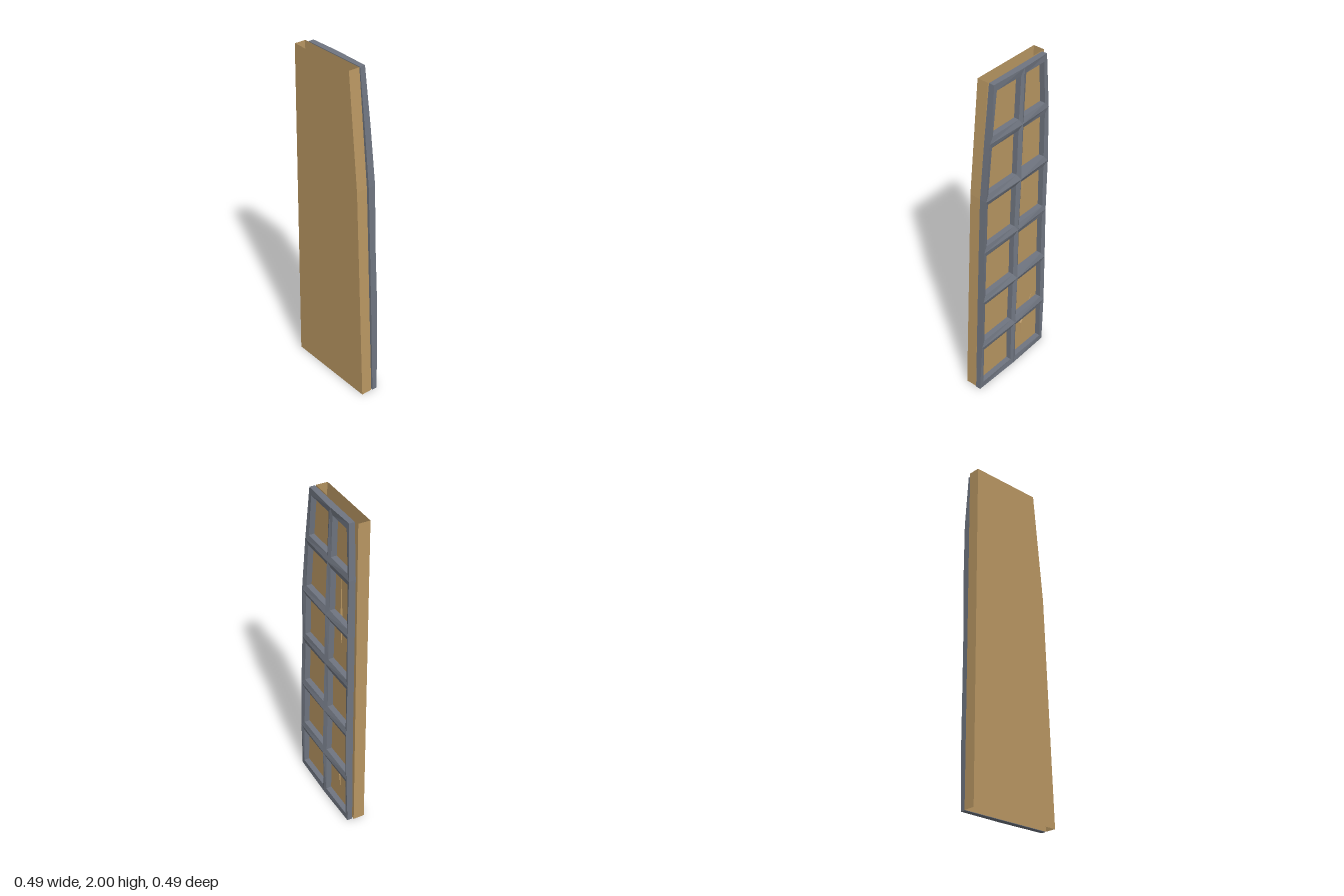
import * as THREE from 'three';

const wood = new THREE.MeshStandardMaterial({ color: 0xb89662, side: THREE.DoubleSide });
wood.name = 'tan board';
const steel = new THREE.MeshStandardMaterial({ color: 0x6f7580, side: THREE.DoubleSide });
steel.name = 'blue grey frame';

// Panel space: s runs along the panel, y is up, n points out of its back.
const P = (s, y, n) => new THREE.Vector3(-s, y, n);

// Flat-faced mesh from a list of polygons (each a fan of points).
function facesMesh(name, faces, material) {
  const pts = [];
  for (const f of faces)
    for (let i = 1; i < f.length - 1; i++) pts.push(f[0], f[i], f[i + 1]);
  const geo = new THREE.BufferGeometry().setFromPoints(pts);
  geo.computeVertexNormals();
  const mesh = new THREE.Mesh(geo, material);
  mesh.name = name;
  return mesh;
}

// Board: open-topped shell, with one long edge that kinks inwards.
function buildBoard() {
  const board = new THREE.Group();
  board.name = 'board';
  const F = -0.054, B = 0.014;
  const outline = [[-0.288, 0], [-0.288, 2], [0.153, 2], [0.225, 1.33], [0.291, 0]];

  const front = outline.map(([s, y]) => P(s, y, F)).reverse();
  const side = (a, b) => [P(...b, B), P(...a, B), P(...a, F), P(...b, F)];
  board.add(facesMesh('frontSheet', [front], wood));
  board.add(facesMesh('leftEdge', [side(outline[0], outline[1])], wood));
  board.add(facesMesh('rightEdge',
    [side(outline[2], outline[3]), side(outline[3], outline[4])], wood));

  // Back sheet with two cracks folded inwards
  const cracks = [
    { rim: [[-0.127, 0.11], [-0.106, 0.22], [-0.155, 0.29], [-0.226, 0.40], [-0.165, 0.27], [-0.125, 0.21]],
      tip: [-0.108, 0.22, -0.021] },
    { rim: [[-0.127, 1.13], [-0.115, 1.35], [-0.125, 1.64], [-0.135, 1.35]],
      tip: [-0.122, 1.38, -0.008] },
  ];
  const toShape = (list) => list.map(([s, y]) => new THREE.Vector2(-s, y));
  const shape = new THREE.Shape(toShape(outline));
  for (const c of cracks) {
    shape.holes.push(new THREE.Path(toShape(c.rim)));
    const folds = c.rim.map((a, i) => {
      const b = c.rim[(i + 1) % c.rim.length];
      return [P(...b, B), P(...a, B), P(...c.tip)];
    });
    board.add(facesMesh('crack', folds, wood));
  }
  const back = new THREE.Mesh(new THREE.ShapeGeometry(shape), wood);
  back.position.z = B;
  back.name = 'backSheet';
  board.add(back);
  return board;
}

// Frame: two columns of six windows, with the bars raised at the crossings.
function buildFrame() {
  const base = 0.02, rimHeight = 0.053;
  // Per row: height, s of left, middle and right nodes, and raised height
  const rows = [
    [0.00, -0.280, 0.000, 0.295, 0.054],
    [0.325, -0.278, -0.005, 0.281, 0.064],
    [0.66, -0.275, -0.020, 0.266, 0.066],
    [1.00, -0.278, -0.028, 0.250, 0.062],
    [1.335, -0.280, -0.045, 0.233, 0.067],
    [1.675, -0.282, -0.060, 0.194, 0.062],
    [2.00, -0.265, -0.080, 0.152, 0.055],
  ];
  const faces = [];
  for (let r = 0; r < 6; r++) {
    for (let c = 0; c < 2; c++) {
      const lo = rows[r], hi = rows[r + 1];
      // Outer corners: bottom left, top left, top right, bottom right
      const O = [[lo, c], [hi, c], [hi, c + 1], [lo, c + 1]]
        .map(([row, k]) => [row[k + 1], row[0], row[4] + (k === 1 ? 0.003 : -0.003)]);
      const y0 = r === 0 ? 0.04 : lo[0] + 0.033;
      const y1 = r === 5 ? 1.96 : hi[0] - 0.033;
      const inL = c === 0 ? 0.024 : 0.02, inR = c === 0 ? 0.02 : 0.026;
      const at = (k, y) => THREE.MathUtils.mapLinear(y, lo[0], hi[0], lo[k + 1], hi[k + 1]);
      const W = [
        [at(c, y0) + inL, y0], [at(c, y1) + inL, y1],
        [at(c + 1, y1) - inR, y1], [at(c + 1, y0) - inR, y0],
      ];
      // Only the edges on the outside of the frame get an outer wall
      const border = [c === 0, r === 5, c === 1, r === 0];
      for (let i = 0; i < 4; i++) {
        const j = (i + 1) % 4;
        const oi = P(...O[i]), oj = P(...O[j]);
        const wi = P(...W[i], rimHeight), wj = P(...W[j], rimHeight);
        const [ofi, ofj] = [O[i], O[j]].map(([s, y]) => P(s, y, base));
        const [wfi, wfj] = [W[i], W[j]].map(([s, y]) => P(s, y, base));
        faces.push([oi, oj, wj, wi], [wi, wj, wfj, wfi], [wfi, wfj, ofj, ofi]);
        if (border[i]) faces.push([oj, oi, ofi, ofj]);
      }
    }
  }
  return facesMesh('latticeFrame', faces, steel);
}

export function createModel() {
  const model = new THREE.Group();
  model.name = 'panel';
  const turned = new THREE.Group();
  turned.name = 'turnedPanel';
  turned.rotation.y = Math.PI * 0.75;
  turned.add(buildBoard(), buildFrame());
  model.add(turned);
  return model;
}
